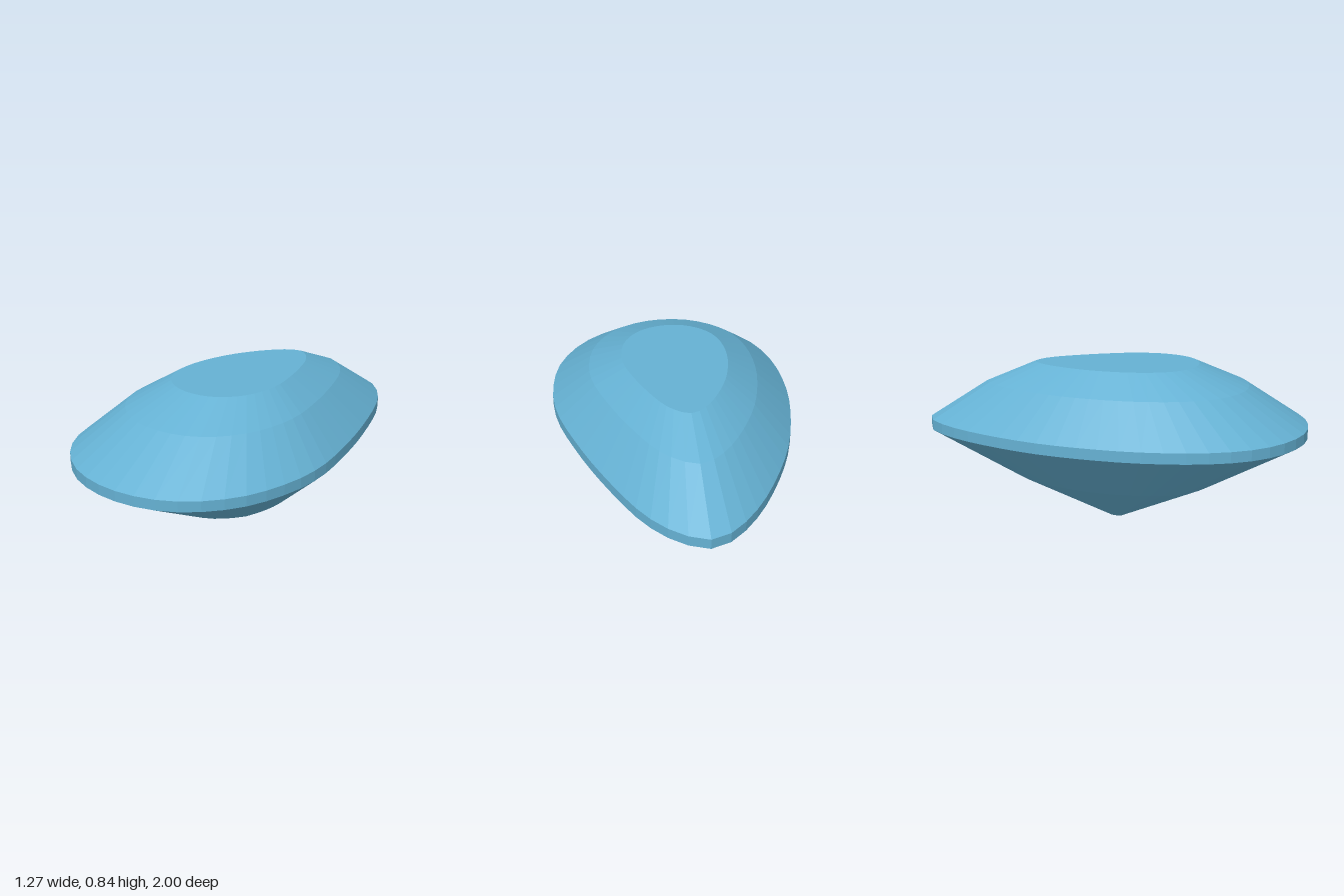
import * as THREE from 'three';

// Girdle outline (x, z), from the narrow back round the left side and back again
const OUTLINE = [
  [-0.08, -1], [0.05, -0.95], [0.2, -0.81], [0.4, -0.46], [0.53, -0.16], [0.61, 0.08],
  [0.635, 0.28], [0.6, 0.56], [0.49, 0.77], [0.35, 0.9], [0.18, 0.975], [0, 1],
  [-0.2, 0.97], [-0.4, 0.86], [-0.53, 0.71], [-0.61, 0.5], [-0.64, 0.22], [-0.62, -0.03],
  [-0.55, -0.34], [-0.4, -0.68], [-0.28, -0.86], [-0.18, -0.96],
];
const SEGMENTS = 48;
const AXIS_X = -0.02; // the rings shrink towards this axis

export function createModel() {
  const group = new THREE.Group();
  group.name = 'pearCutGem';
  const blue = new THREE.MeshStandardMaterial({ color: 0x65b1d3, flatShading: true });
  blue.name = 'gem blue';

  const curve = new THREE.CatmullRomCurve3(
    OUTLINE.map(([x, z]) => new THREE.Vector3(x, 0, z)), true);
  const outline = curve.getSpacedPoints(SEGMENTS).slice(0, SEGMENTS);

  // One scaled copy of the outline at a given height
  const ring = ([scale, y]) => outline.map((p) =>
    new THREE.Vector3(AXIS_X + (p.x - AXIS_X) * scale, y, p.z * scale));

  const addPart = (name, points) => {
    const geometry = new THREE.BufferGeometry().setFromPoints(points);
    geometry.computeVertexNormals();
    const mesh = new THREE.Mesh(geometry, blue);
    mesh.name = name;
    group.add(mesh);
  };

  // Faceted band through rings listed from bottom to top
  const addBand = (name, levels) => {
    const rings = levels.map(ring);
    const points = [];
    for (let k = 0; k < rings.length - 1; k++) {
      for (let i = 0; i < SEGMENTS; i++) {
        const j = (i + 1) % SEGMENTS;
        const [low, high] = [rings[k], rings[k + 1]];
        points.push(low[i], high[i], low[j], low[j], high[i], high[j]);
      }
    }
    addPart(name, points);
  };

  // Flat cap closing a ring
  const addCap = (name, level, up) => {
    const edge = ring(level);
    const centre = new THREE.Vector3(AXIS_X, level[1], 0);
    addPart(name, edge.flatMap((p, i) => {
      const next = edge[(i + 1) % SEGMENTS];
      return up ? [centre, next, p] : [centre, p, next];
    }));
  };

  addCap('culet', [0.035, 0], false);
  addBand('pavilion', [[0.035, 0], [0.52, 0.215], [1, 0.475]]);
  addBand('girdle', [[1, 0.475], [1, 0.53]]);
  addBand('crown', [[1, 0.53], [0.69, 0.73], [0.43, 0.84]]);
  addCap('table', [0.43, 0.84], true);
  return group;
}
